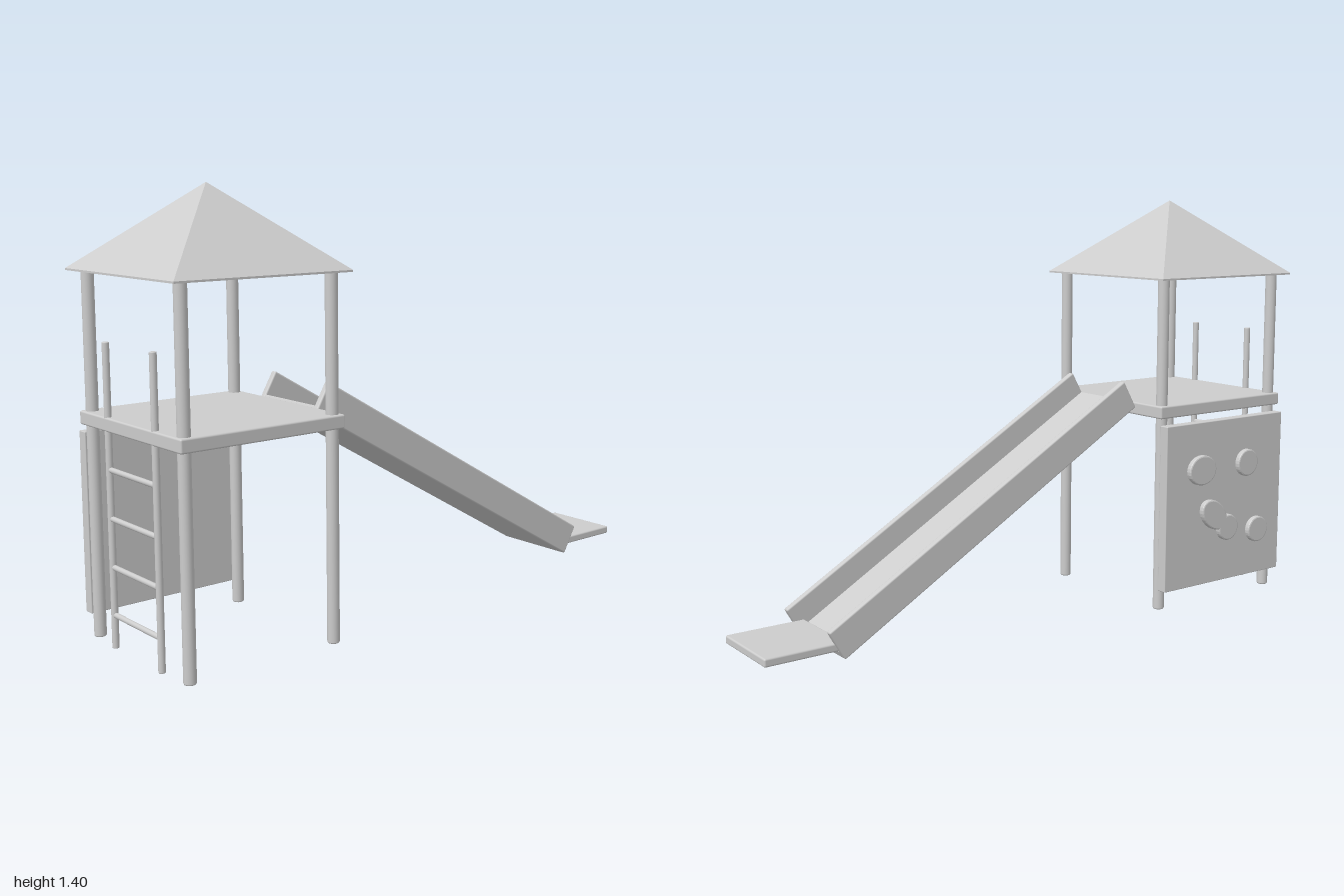
import * as THREE from 'three';
import { RoundedBoxGeometry } from 'three/addons/geometries/RoundedBoxGeometry.js';

const CX = -0.694, CZ = 0.012; // tower axis

export function createModel() {
  const root = new THREE.Group();
  root.name = 'playgroundTower';
  const grey = new THREE.MeshStandardMaterial({ color: 0xcccccc });
  grey.name = 'plain grey';

  const add = (parent, name, geometry, x, y, z) => {
    const mesh = new THREE.Mesh(geometry, grey);
    mesh.name = name;
    mesh.position.set(x, y, z);
    parent.add(mesh);
    return mesh;
  };
  const group = (name) => {
    const g = new THREE.Group();
    g.name = name;
    root.add(g);
    return g;
  };
  const box = (w, h, d, r = 0.006) => new RoundedBoxGeometry(w, h, d, 2, r);
  // Upright pole with softened ends, standing on its origin
  const pole = (r, h) => {
    const b = r * 0.3;
    const points = [[0, 0], [r - b, 0], [r - b * 0.3, b * 0.3], [r, b], [r, h - b],
      [r - b * 0.3, h - b * 0.3], [r - b, h], [0, h]];
    return new THREE.LatheGeometry(points.map(([x, y]) => new THREE.Vector2(x, y)), 20);
  };

  // Tower: four posts and a deck
  const tower = group('tower');
  for (const sx of [-1, 1]) {
    for (const sz of [-1, 1]) {
      add(tower, 'post', pole(0.0195, 1.142), CX + sx * 0.258, 0, CZ + sz * 0.259);
    }
  }
  add(tower, 'deck', box(0.572, 0.043, 0.576), CX, 0.693, CZ);

  // Pyramid roof with a thin rim and closed underside
  const roof = group('roof');
  const half = 0.305;
  const pyramid = new THREE.ConeGeometry(half * Math.SQRT2, 0.254, 4, 1, true).toNonIndexed();
  pyramid.rotateY(Math.PI / 4);
  pyramid.computeVertexNormals();
  add(roof, 'roofPyramid', pyramid, -0.695, 1.272, CZ);
  add(roof, 'roofRim', new THREE.BoxGeometry(half * 2, 0.006, half * 2), -0.695, 1.142, CZ);

  // Ladder on the side away from the slide
  const ladder = group('ladder');
  const lx = -0.968;
  for (const s of [-1, 1]) add(ladder, 'ladderRail', pole(0.011, 0.938), lx, 0, CZ + s * 0.134);
  for (let i = 0; i < 4; i++) {
    const rung = new THREE.CylinderGeometry(0.0085, 0.0085, 0.268, 16);
    rung.rotateX(Math.PI / 2);
    add(ladder, 'rung', rung, lx, 0.105 + i * 0.15, CZ);
  }

  // Climbing wall with grips on the back
  const wall = group('climbingWall');
  add(wall, 'wallPanel', box(0.555, 0.577, 0.036, 0.003), CX, 0.3595, -0.281);
  const grips = [ // x, y, half width, half height, tilt
    [-0.572, 0.483, 0.062, 0.052, 0],
    [-0.79, 0.485, 0.048, 0.048, 0],
    [-0.632, 0.318, 0.066, 0.046, 0.7],
    [-0.7, 0.264, 0.046, 0.046, 0],
    [-0.848, 0.236, 0.048, 0.046, 0],
  ];
  for (const [x, y, rx, ry, tilt] of grips) {
    const b = 0.005;
    const grip = new THREE.ExtrudeGeometry(
      new THREE.Shape().absellipse(0, 0, rx - b, ry - b, 0, Math.PI * 2, false, tilt),
      { depth: 0.012, bevelEnabled: true, bevelSize: b, bevelThickness: b, bevelSegments: 2, curveSegments: 14 });
    add(wall, 'grip', grip, x, y, -0.313);
  }

  // Slide: sloping bed between two side walls
  const slide = group('slide');
  slide.position.set(0.19, 0.411, 0.0085);
  slide.rotation.z = -Math.PI / 6;
  for (const s of [-1, 1]) add(slide, 'slideSide', box(1.33, 0.108, 0.023), 0, 0, s * 0.14);
  add(slide, 'slideBed', box(1.328, 0.026, 0.27, 0.003), 0, -0.041, 0);

  // Flat landing at the foot of the slide
  add(root, 'slideLanding', box(0.27, 0.027, 0.272), 0.865, 0.0715, 0.0065);

  return root;
}
